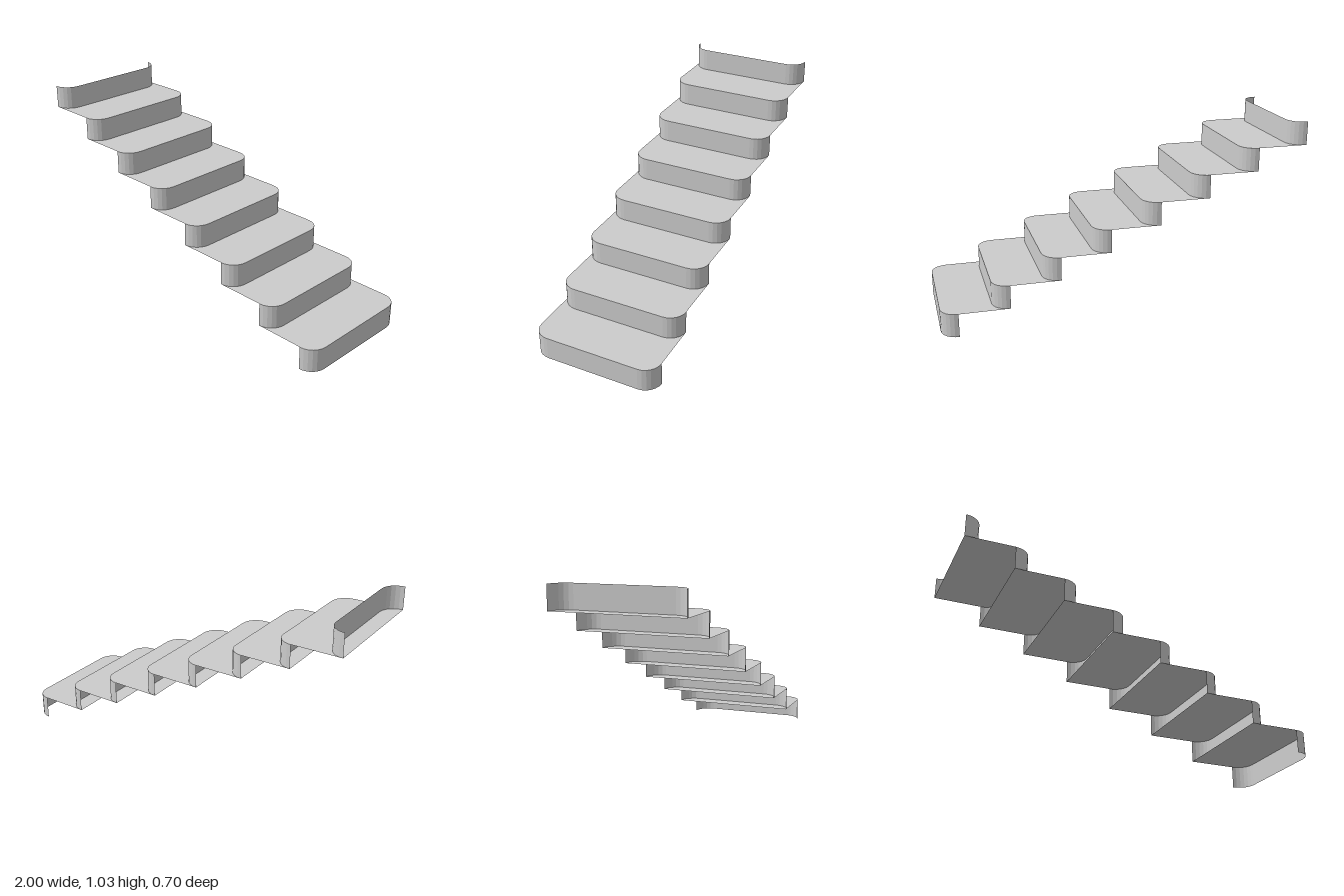
import * as THREE from 'three';

const STEPS = 8;
const RISE = 1.029 / STEPS;
const RADIUS = 0.09;
const RUN = (2 - RADIUS) / (STEPS - 1);
const HALF = 0.352;
const CORNER_SEGMENTS = 6;

// Rounded nosing, seen from above, running from z = +HALF round to z = -HALF.
// Its foremost edge is at x = 0.
function nosing() {
  const points = [];
  for (const side of [1, -1]) {
    for (let i = 0; i <= CORNER_SEGMENTS; i++) {
      const t = (side > 0 ? 1 - i / CORNER_SEGMENTS : i / CORNER_SEGMENTS) * Math.PI / 2;
      points.push(new THREE.Vector2(
        RADIUS * (Math.cos(t) - 1),
        side * (HALF - RADIUS + RADIUS * Math.sin(t))
      ));
    }
  }
  return points;
}

// Upright band bent along the nosing
function riserGeometry(outline) {
  const geometry = new THREE.PlaneGeometry(1, RISE, outline.length - 1, 1);
  geometry.translate(0, RISE / 2, 0);
  const pos = geometry.attributes.position;
  for (let i = 0; i < pos.count; i++) {
    const p = outline[i % outline.length];
    pos.setX(i, p.x);
    pos.setZ(i, p.y);
  }
  geometry.computeVertexNormals();
  return geometry;
}

// Flat sheet from the nosing back to the ends of the next riser
function treadGeometry(outline) {
  const back = -RUN - RADIUS;
  const shape = new THREE.Shape([
    ...outline,
    new THREE.Vector2(back, -HALF),
    new THREE.Vector2(back, HALF)
  ]);
  return new THREE.ShapeGeometry(shape).rotateX(-Math.PI / 2);
}

export function createModel() {
  const model = new THREE.Group();
  model.name = 'staircase';
  const material = new THREE.MeshStandardMaterial({
    color: 0xcccccc, flatShading: true, side: THREE.DoubleSide
  });
  const outline = nosing();
  const riser = riserGeometry(outline);
  const tread = treadGeometry(outline);

  const add = (geometry, name, x, y) => {
    const mesh = new THREE.Mesh(geometry, material);
    mesh.name = name;
    mesh.position.set(x, y, 0);
    model.add(mesh);
  };

  // Steps climb towards -x; the top riser has no tread
  for (let i = 0; i < STEPS; i++) {
    const x = 1 - i * RUN;
    add(riser, `riser${i + 1}`, x, i * RISE);
    if (i < STEPS - 1) add(tread, `tread${i + 1}`, x, (i + 1) * RISE);
  }
  return model;
}
